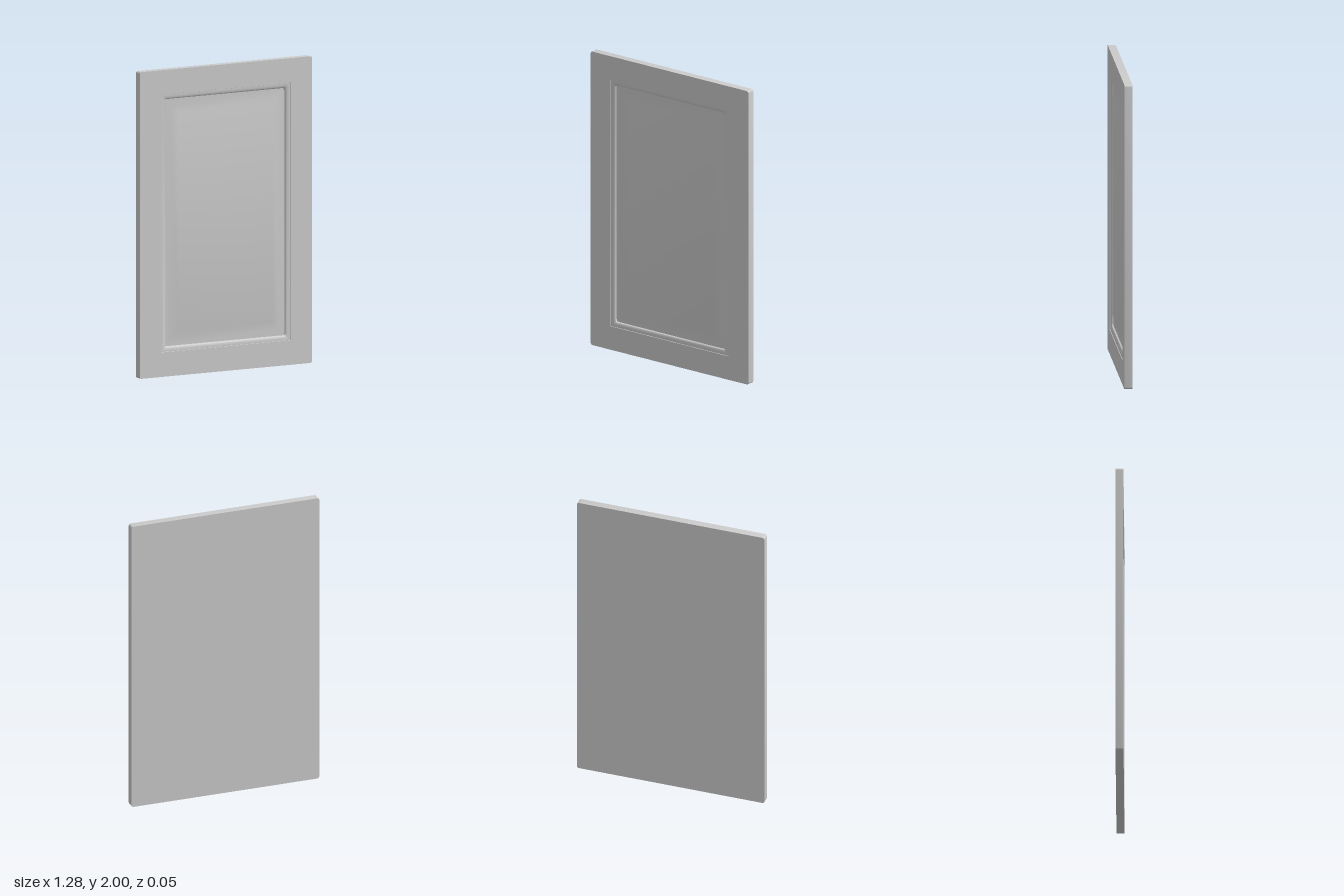
import * as THREE from 'three';
import { toCreasedNormals } from 'three/addons/utils/BufferGeometryUtils.js';

const material = new THREE.MeshStandardMaterial({ color: 0xcccccc });
const CORNER_STEPS = 4;
const BACK = -0.026, FRONT = 0.026;

// Rounded rectangle, counter-clockwise from the front, centred on y = 1
function ring([halfW, halfH, radius, z]) {
  const points = [];
  [[1, 1], [-1, 1], [-1, -1], [1, -1]].forEach(([sx, sy], corner) => {
    for (let i = 0; i <= CORNER_STEPS; i++) {
      const a = (corner + i / CORNER_STEPS) * Math.PI / 2;
      points.push(new THREE.Vector3(
        sx * (halfW - radius) + radius * Math.cos(a),
        1 + sy * (halfH - radius) + radius * Math.sin(a), z));
    }
  });
  return points;
}

// Skin joining successive rings, leaving out collapsed triangles
function loft(name, profile) {
  const rings = profile.map(ring);
  const positions = [];
  const triangle = (a, b, c) => {
    const area = b.clone().sub(a).cross(c.clone().sub(a)).length();
    if (area > 1e-9) for (const p of [a, b, c]) positions.push(p.x, p.y, p.z);
  };
  for (let i = 0; i < rings.length - 1; i++) {
    const lower = rings[i], upper = rings[i + 1], n = lower.length;
    for (let j = 0; j < n; j++) {
      const k = (j + 1) % n;
      triangle(lower[j], lower[k], upper[k]);
      triangle(lower[j], upper[k], upper[j]);
    }
  }
  const geometry = new THREE.BufferGeometry();
  geometry.setAttribute('position', new THREE.Float32BufferAttribute(positions, 3));
  const mesh = new THREE.Mesh(toCreasedNormals(geometry, 0.5), material);
  mesh.name = name;
  return mesh;
}

export function createModel() {
  const door = new THREE.Group();
  door.name = 'cabinetDoor';

  // Back, edges and flat front border
  door.add(loft('frame', [
    [0, 0, 0, BACK],
    [0.642, 1, 0.014, BACK],
    [0.642, 1, 0.014, FRONT],
    [0.481, 0.84, 0.004, FRONT],
  ]));

  // Small step, then a quarter-round falling inwards to the groove
  const moulding = [[0.481, 0.84, 0.004, FRONT], [0.48, 0.839, 0.004, 0.022]];
  for (let i = 0; i <= 6; i++) {
    const a = i / 6 * Math.PI / 2;
    const inset = 0.03 * Math.sin(a);
    moulding.push([0.478 - inset, 0.837 - inset, 0.004 + 0.4 * inset, 0.01 + 0.012 * Math.cos(a)]);
  }
  moulding.push([0.447, 0.806, 0.015, 0.004]);
  door.add(loft('moulding', moulding));

  // Recessed margin, bevel and raised centre field
  door.add(loft('raisedPanel', [
    [0.447, 0.806, 0.015, 0.004],
    [0.403, 0.762, 0, 0.004],
    [0.352, 0.711, 0, 0.019],
    [0, 0, 0, 0.019],
  ]));

  return door;
}
